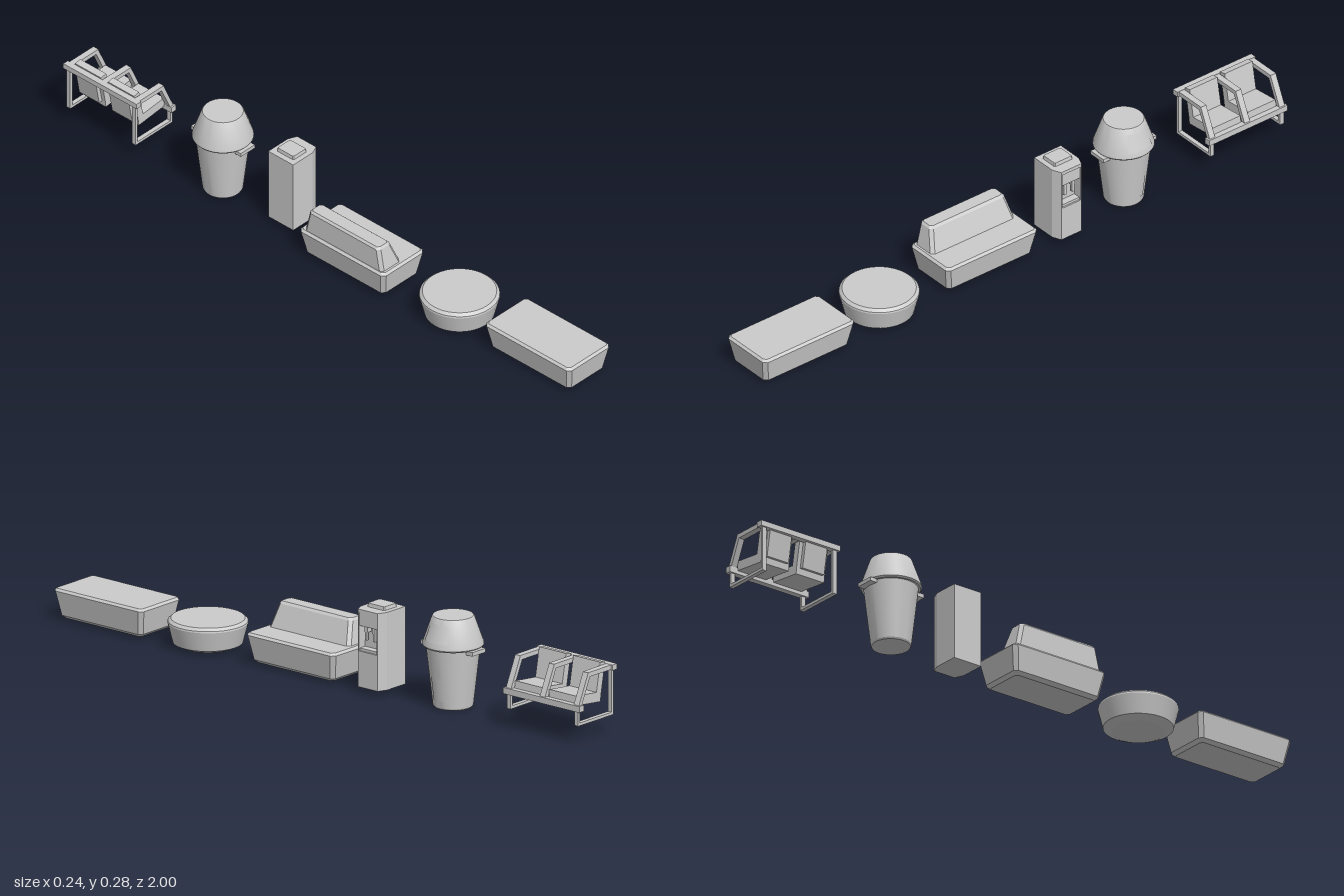
import * as THREE from 'three';
import { toCreasedNormals } from 'three/addons/utils/BufferGeometryUtils.js';

const flat = new THREE.MeshStandardMaterial({ color: 0xcccccc, flatShading: true });
const smooth = new THREE.MeshStandardMaterial({ color: 0xcccccc });
const shell = new THREE.MeshStandardMaterial({ color: 0xcccccc, side: THREE.DoubleSide });

function add(parent, name, geometry, x = 0, y = 0, z = 0, material = flat) {
  const mesh = new THREE.Mesh(geometry, material);
  mesh.name = name;
  mesh.position.set(x, y, z);
  parent.add(mesh);
  return mesh;
}

function group(parent, name, x = 0, y = 0, z = 0) {
  const g = new THREE.Group();
  g.name = name;
  g.position.set(x, y, z);
  parent.add(g);
  return g;
}

// Box given by its limits
function block(parent, name, x0, x1, y0, y1, z0, z1) {
  return add(parent, name, new THREE.BoxGeometry(x1 - x0, y1 - y0, z1 - z0),
    (x0 + x1) / 2, (y0 + y1) / 2, (z0 + z1) / 2);
}

// Square bar between two points of the x-y plane
function beam(parent, name, [xa, ya], [xb, yb], z, height, depth) {
  const length = Math.hypot(xb - xa, yb - ya);
  const m = add(parent, name, new THREE.BoxGeometry(length, height, depth), (xa + xb) / 2, (ya + yb) / 2, z);
  m.rotation.z = Math.atan2(yb - ya, xb - xa);
  return m;
}

// Stacked rectangles with cut corners; each ring is [y, x0, x1, z0, z1, cut]
function loft(rings) {
  const loops = rings.map(([y, x0, x1, z0, z1, c]) => [
    [x1, y, z0 + c], [x1 - c, y, z0], [x0 + c, y, z0], [x0, y, z0 + c],
    [x0, y, z1 - c], [x0 + c, y, z1], [x1 - c, y, z1], [x1, y, z1 - c]]);
  const pos = [];
  const tri = (a, b, c) => pos.push(...a, ...b, ...c);
  for (let k = 0; k + 1 < loops.length; k++) {
    for (let i = 0; i < 8; i++) {
      const j = (i + 1) % 8, lo = loops[k], hi = loops[k + 1];
      tri(lo[i], lo[j], hi[j]);
      tri(lo[i], hi[j], hi[i]);
    }
  }
  const bottom = loops[0], top = loops[loops.length - 1];
  for (let i = 1; i < 7; i++) {
    tri(bottom[0], bottom[i + 1], bottom[i]);
    tri(top[0], top[i], top[i + 1]);
  }
  const g = new THREE.BufferGeometry();
  g.setAttribute('position', new THREE.Float32BufferAttribute(pos, 3));
  g.computeVertexNormals();
  return g;
}

function turned(profile) {
  const pts = profile.map(([r, y]) => new THREE.Vector2(r, y));
  return toCreasedNormals(new THREE.LatheGeometry(pts, 40), 0.35);
}

// Padded block, tapering to the floor with a bevelled top
function paddedBase(parent, name, x0, x1, z0, z1) {
  const ring = (y, d, c) => [y, x0 + d, x1 - d, z0 + d, z1 - d, c];
  add(parent, name, loft([ring(0.007, 0.025, 0.008), ring(0.017, 0.014, 0.011),
    ring(0.092, 0, 0.012), ring(0.099, 0.007, 0.008)]));
}

function buildSofa(root) {
  const g = group(root, 'sofa');
  paddedBase(g, 'sofaSeat', -0.11, 0.07, -0.058, 0.285);
  add(g, 'sofaBack', loft([
    [0.095, -0.102, -0.018, -0.042, 0.272, 0.01],
    [0.168, -0.1, -0.045, -0.026, 0.256, 0.01],
    [0.175, -0.094, -0.052, -0.02, 0.25, 0.007]]));
}

function buildDispenser(root) {
  const g = group(root, 'dispenser', 0, 0, -0.185);
  block(g, 'dispenserBody', -0.048, 0.035, 0.018, 0.256, -0.05, 0.05);

  // Front face with bevelled sides and the serving opening
  const face = new THREE.Shape([[-0.05, 0.018], [0.05, 0.018], [0.05, 0.256], [-0.05, 0.256]]
    .map(p => new THREE.Vector2(...p)));
  face.holes.push(new THREE.Path([[-0.034, 0.128], [-0.034, 0.245], [0.034, 0.245], [0.034, 0.128]]
    .map(p => new THREE.Vector2(...p))));
  const geo = new THREE.ExtrudeGeometry(face, { depth: 0.028, bevelEnabled: false });
  geo.rotateY(Math.PI / 2);
  const p = geo.attributes.position;
  for (let i = 0; i < p.count; i++) {
    if (p.getX(i) > 0.01 && Math.abs(p.getZ(i)) > 0.045) p.setZ(i, Math.sign(p.getZ(i)) * 0.038);
  }
  geo.computeVertexNormals();
  add(g, 'dispenserFace', geo, 0.035);

  block(g, 'dispenserHood', 0.034, 0.06, 0.205, 0.245, -0.034, 0.034);
  for (const s of [-1, 1]) {
    block(g, 'tap', 0.034, 0.054, 0.187, 0.206, s * 0.015 - 0.006, s * 0.015 + 0.006);
    block(g, 'tapSpout', 0.046, 0.053, 0.162, 0.19, s * 0.015 - 0.004, s * 0.015 + 0.004);
  }
  block(g, 'dripTray', 0.034, 0.058, 0.128, 0.136, -0.034, 0.034);
  add(g, 'dispenserCap', loft([[0.255, -0.03, 0.028, -0.034, 0.034, 0.003],
    [0.267, -0.028, 0.026, -0.032, 0.032, 0.003]]));
}

function buildBin(root) {
  const g = group(root, 'bin', -0.017, 0, -0.446);
  add(g, 'binBody', turned([[0, 0.003], [0.057, 0.003], [0.06, 0.008], [0.081, 0.19], [0, 0.19]]), 0, 0, 0, smooth);
  add(g, 'binLid', turned([[0, 0.188], [0.087, 0.188], [0.091, 0.193], [0.09, 0.2],
    [0.063, 0.276], [0.06, 0.28], [0, 0.28]]), 0, 0, 0, smooth);
  // Curved panels on the side that faces +x
  const panel = (name, rTop, rBottom, y0, y1, angle) => add(g, name,
    new THREE.CylinderGeometry(rTop, rBottom, y1 - y0, 10, 1, true, Math.PI / 2 - angle / 2, angle),
    0, (y0 + y1) / 2, 0, shell);
  panel('binFlap', 0.0685, 0.088, 0.211, 0.264, 1.05);
  panel('binDoor', 0.0725, 0.0645, 0.03, 0.1, 0.75);
  for (const s of [-1, 1]) {
    block(g, 'binHandle', -0.03, 0.03, 0.178, 0.19, s * 0.088 - 0.012, s * 0.088 + 0.012);
  }
}

function buildChairRow(root) {
  const g = group(root, 'chairRow', 0, 0, -0.853);
  block(g, 'rearRail', -0.109, -0.089, 0.203, 0.22, -0.147, 0.147);
  block(g, 'frontRail', 0.04, 0.06, 0.108, 0.127, -0.147, 0.147);

  // End frames
  for (const z of [-0.131, 0.131]) {
    beam(g, 'rearLeg', [-0.099, 0.064], [-0.099, 0.205], z, 0.009, 0.014);
    beam(g, 'frontLeg', [0.05, 0.064], [0.05, 0.11], z, 0.009, 0.014);
    beam(g, 'footBar', [-0.103, 0.068], [0.054, 0.068], z, 0.009, 0.014);
  }
  // Armrests run level and then bend down to the front rail
  for (const z of [-0.131, 0, 0.131]) {
    beam(g, 'armrest', [-0.1, 0.212], [0.014, 0.212], z, 0.014, 0.02);
    beam(g, 'armSupport', [0.008, 0.214], [0.05, 0.122], z, 0.013, 0.02);
  }
  // Seats
  for (const z of [-0.066, 0.066]) {
    beam(g, 'seatCushion', [-0.07, 0.122], [0.042, 0.134], z, 0.03, 0.104);
    beam(g, 'backCushion', [-0.058, 0.12], [-0.078, 0.226], z, 0.022, 0.104);
    beam(g, 'backPlate', [-0.078, 0.125], [-0.094, 0.21], z, 0.012, 0.08);
  }
}

export function createModel() {
  const root = new THREE.Group();
  root.name = 'loungeFurniture';
  paddedBase(root, 'longBench', -0.078, 0.103, 0.656, 1.0);
  add(root, 'roundPouf', turned([[0, 0.003], [0.078, 0.003], [0.104, 0.015],
    [0.119, 0.075], [0.118, 0.08], [0.109, 0.088], [0, 0.088]]), 0, 0, 0.487, smooth);
  buildSofa(root);
  buildDispenser(root);
  buildBin(root);
  buildChairRow(root);
  return root;
}
